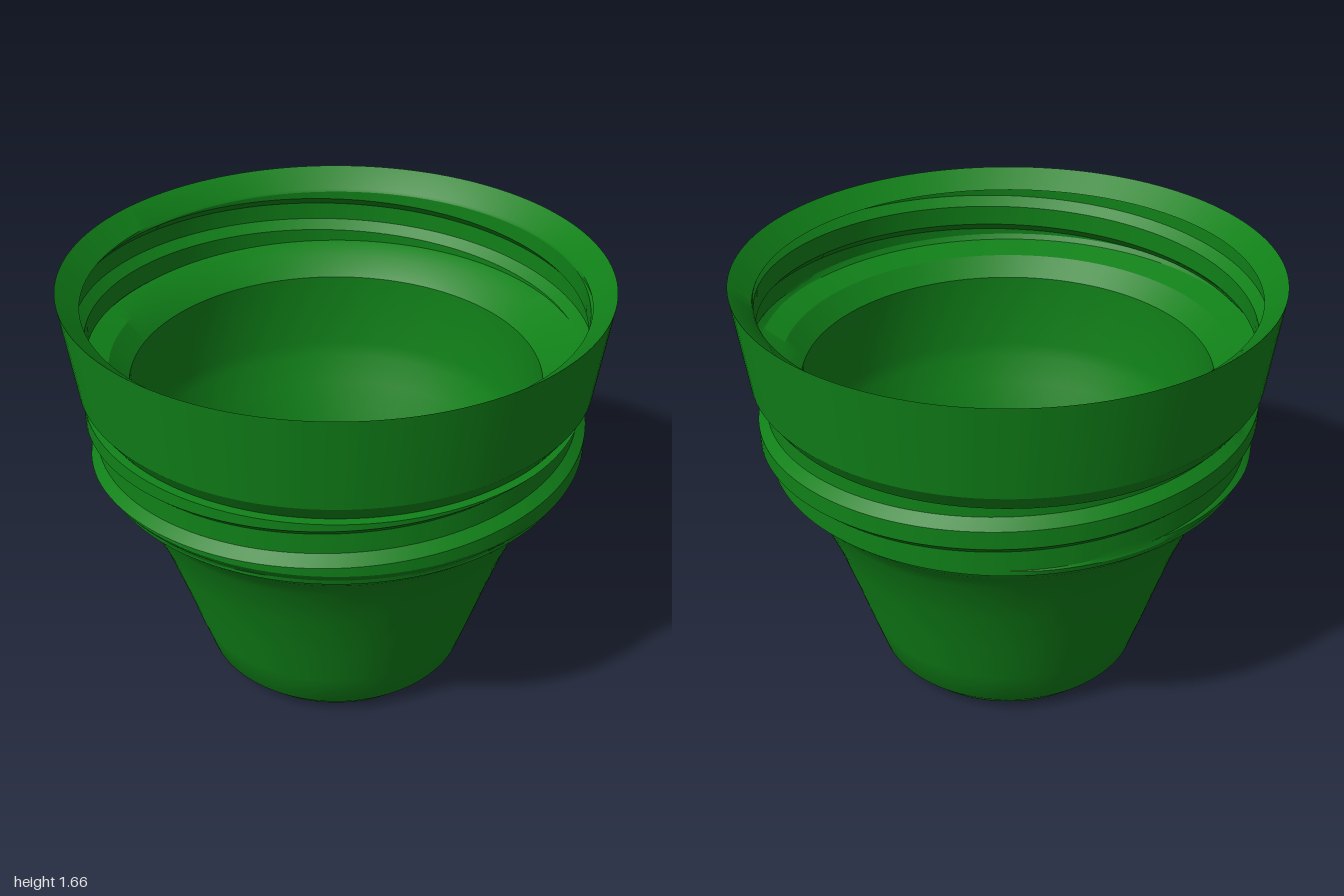
import * as THREE from 'three';
import { toCreasedNormals } from 'three/addons/utils/BufferGeometryUtils.js';

const SEGMENTS = 128;
const PITCH = 0.22, FLAT = 0.035, BASE = 0.07, DEPTH = 0.035;

// Surface of revolution whose profile [radius, y] may change with the turn t (0..1).
// t = 0 is at -x, 0.25 at +z, 0.5 at +x, 0.75 at -z.
function turnedSurface(profileAt) {
  const positions = [], index = [];
  let rows = 0;
  for (let i = 0; i <= SEGMENTS; i++) {
    const t = i / SEGMENTS, a = t * Math.PI * 2;
    const profile = profileAt(t);
    rows = profile.length;
    for (const [r, y] of profile) positions.push(-Math.cos(a) * r, y, Math.sin(a) * r);
  }
  for (let i = 0; i < SEGMENTS; i++) {
    for (let j = 0; j < rows - 1; j++) {
      const a = i * rows + j, b = a + rows;
      index.push(a, b, b + 1, a, b + 1, a + 1);
    }
  }
  const geometry = new THREE.BufferGeometry();
  geometry.setAttribute('position', new THREE.Float32BufferAttribute(positions, 3));
  geometry.setIndex(index);
  return toCreasedNormals(geometry, 0.45);
}

// Threaded band between heights lo and hi: a helical ridge on a wall of radius root,
// running out against a cone at the lower end.
function threadedBand(t, root, lo, hi, lift) {
  const centres = [-1, 0, 1].map(k => 0.975 + lift + PITCH * (t + k));
  const radius = y => {
    let ridge = 0;
    for (const c of centres) {
      const d = Math.abs(y - c);
      ridge = Math.max(ridge, DEPTH * THREE.MathUtils.clamp((BASE - d) / (BASE - FLAT), 0, 1));
    }
    const cone = 0.87 + (y - lift - 0.93) * 0.85;
    return Math.max(root, Math.min(root + ridge, cone));
  };
  const heights = [lo, lo + 0.02, lo + 0.04, lo + 0.06, hi];
  for (const c of centres) {
    for (const o of [-BASE, -FLAT, FLAT, BASE]) heights.push(THREE.MathUtils.clamp(c + o, lo, hi));
  }
  return heights.sort((a, b) => a - b).map(y => [radius(y), y]);
}

export function createModel() {
  const group = new THREE.Group();
  const material = new THREE.MeshStandardMaterial({ color: 0x108018, side: THREE.DoubleSide });
  const add = (name, geometry) => {
    const mesh = new THREE.Mesh(geometry, material);
    mesh.name = name;
    group.add(mesh);
  };

  // Base, flared body, male thread on the neck and the wide collar
  add('outerWall', turnedSurface(t => [
    [0, 0], [0.44, 0], [0.475, 0.012], [0.525, 0.065], [0.575, 0.22], [0.63, 0.4],
    [0.695, 0.6], [0.775, 0.8], [0.82, 0.87], [0.855, 0.91], [0.875, 0.95],
    ...threadedBand(t, 0.905, 0.957, 1.23, 0),
    [0.91, 1.232], [0.955, 1.3], [1, 1.66],
  ]));

  // Bevelled rim, matching female thread in the collar, ledge, straight neck and hollow body
  add('innerWall', turnedSurface(t => [
    [1, 1.66], [0.92, 1.59],
    ...threadedBand(t, 0.915, 1.36, 1.58, 0.35).reverse(),
    [0.84, 1.33], [0.77, 1.26], [0.77, 0.95], [0.755, 0.89], [0.71, 0.78],
    [0.635, 0.6], [0.57, 0.4], [0.515, 0.22], [0.46, 0.06], [0, 0.06],
  ]));

  return group;
}
